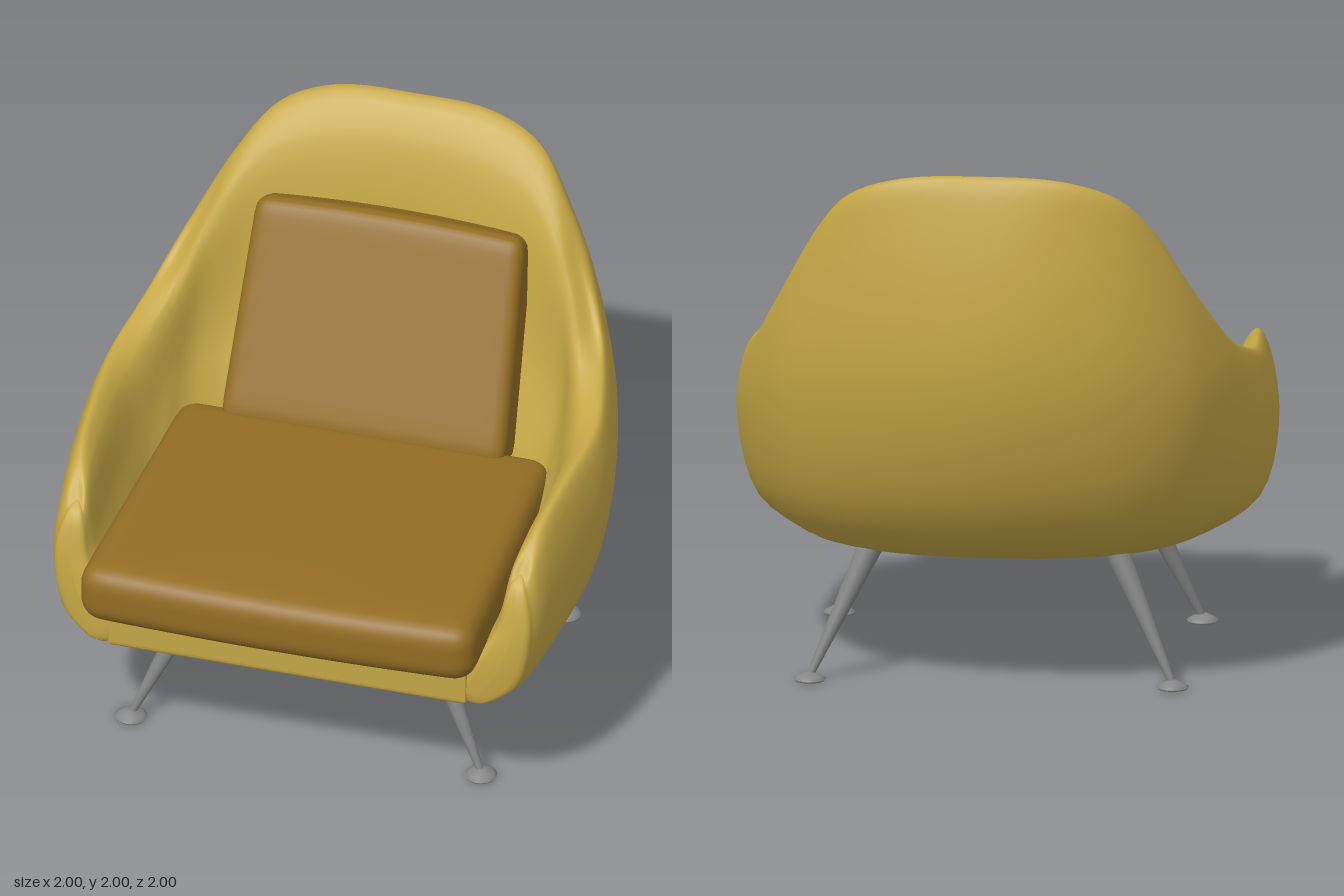
import * as THREE from 'three';
import { mergeVertices } from 'three/addons/utils/BufferGeometryUtils.js';

const V = (x, y, z) => new THREE.Vector3(x, y, z);

const flat = (name, color) => {
  const m = new THREE.MeshStandardMaterial({ color });
  m.name = name;
  return m;
};

function part(name, geometry, material) {
  const m = new THREE.Mesh(geometry, material);
  m.name = name;
  return m;
}

// Half of the shell, from the middle of the back to the front of the left arm:
// rim top, widest outer point, inner wall, bottom edge (x, z), fullness of the lower bulge
const STATIONS = [
  [[0, 2, -0.86], [0, 1.2, -1], [0, 1.2, -0.58], [0, -0.55], 0.58],
  [[0.3, 1.985, -0.855], [0.3, 1.2, -0.965], [0.25, 1.2, -0.56], [0.25, -0.53], 0.58],
  [[0.5, 1.91, -0.8], [0.55, 1.2, -0.88], [0.46, 1.2, -0.52], [0.45, -0.46], 0.6],
  [[0.63, 1.75, -0.68], [0.74, 1.15, -0.74], [0.61, 1.1, -0.45], [0.6, -0.34], 0.62],
  [[0.72, 1.55, -0.575], [0.86, 1.1, -0.55], [0.7, 1.05, -0.36], [0.68, -0.2], 0.65],
  [[0.82, 1.34, -0.43], [0.95, 1, -0.3], [0.75, 1, -0.2], [0.73, 0], 0.7],
  [[0.92, 1.2, -0.12], [1, 0.92, 0], [0.78, 0.92, 0.03], [0.75, 0.2], 0.72],
  [[0.91, 1.17, 0.25], [0.985, 0.86, 0.3], [0.79, 0.88, 0.3], [0.75, 0.42], 0.74],
  [[0.89, 1.14, 0.46], [0.96, 0.82, 0.52], [0.785, 0.85, 0.52], [0.75, 0.62], 0.74],
  [[0.87, 1.08, 0.57], [0.94, 0.8, 0.66], [0.78, 0.82, 0.66], [0.74, 0.72], 0.74],
  [[0.855, 1.0, 0.64], [0.92, 0.8, 0.715], [0.785, 0.8, 0.715], [0.73, 0.765], 0.74],
];

// Nine control points around the wall at one station
function section([t, w, m, b, f]) {
  const T = V(...t), W = V(...w), M = V(...m), B = V(b[0], 0.48, b[1]);
  const mix = (p, q, side, up) => {
    const r = p.clone().lerp(q, side);
    r.y = p.y + (q.y - p.y) * up;
    return r;
  };
  const back = B.z < 0.2 ? 0.12 : 0;
  return [
    B, mix(B, W, f, 0.25), W, mix(W, T, 0.5, 0.8), T, mix(M, T, 0.5, 0.8), M,
    V(B.x * 0.96, 0.65, B.z + back), V(B.x * 0.92, 0.5, B.z + back),
  ];
}

// Wraparound shell: cross-sections swept from the right arm, behind the back, to the left arm
function shellGeometry() {
  const half = STATIONS.map(section);
  const mirrored = half.slice(1).reverse().map(s => s.map(p => V(-p.x, p.y, p.z)));
  const all = [...mirrored, ...half];
  const rails = half[0].map((_, k) => new THREE.CatmullRomCurve3(all.map(s => s[k])));
  const U = 100, N = 45, rings = [];
  for (let i = 0; i <= U; i++) {
    const loop = new THREE.CatmullRomCurve3(rails.map(r => r.getPoint(i / U)), true);
    rings.push(Array.from({ length: N }, (_, j) => loop.getPoint(j / N)));
  }
  // rounded arm fronts, closing each outer point against the inner point facing it
  const capRings = ring => [[0.96, 0.012], [0.86, 0.022], [0.65, 0.028], [0, 0.03]].map(([k, dz]) =>
    ring.map((p, j) => {
      const mid = p.clone().add(ring[(40 - j + N) % N]).multiplyScalar(0.5);
      const bulge = dz * Math.min(1, p.distanceTo(mid) / 0.06);
      return mid.lerp(p, k).add(V(0, 0, bulge));
    }));
  const full = [...capRings(rings[0]).reverse(), ...rings, ...capRings(rings[U])];
  const index = [];
  for (let i = 0; i < full.length - 1; i++) {
    for (let j = 0; j < N; j++) {
      const a = i * N + j, b = i * N + (j + 1) % N;
      index.push(a, b, a + N, b, b + N, a + N);
    }
  }
  const g = new THREE.BufferGeometry().setFromPoints(full.flat());
  g.setIndex(index);
  g.computeVertexNormals();
  return g;
}

// Soft rounded box; shape(p, s) then tapers it, with s running -1..1 on each axis
function cushionGeometry(w, h, d, r, shape) {
  const box = new THREE.BoxGeometry(2, 2, 2, 22, 16, 22);
  box.deleteAttribute('uv');
  box.deleteAttribute('normal');
  const g = mergeVertices(box), pos = g.attributes.position;
  const size = V(w / 2, h / 2, d / 2), inner = size.clone().subScalar(r);
  for (let i = 0; i < pos.count; i++) {
    const s = V(0, 0, 0).fromBufferAttribute(pos, i);
    ['x', 'y', 'z'].forEach(a => { s[a] = Math.sin(s[a] * Math.PI / 2); });
    const p = s.clone().multiply(size);
    const core = p.clone().clamp(inner.clone().negate(), inner);
    p.sub(core).setLength(r).add(core);
    shape(p, s);
    pos.setXYZ(i, p.x, p.y, p.z);
  }
  g.computeVertexNormals();
  return g;
}

// Seat base, filling the underside between the walls
function baseGeometry() {
  const half = [[0.665, 0.775], [0.69, 0.4], [0.67, 0.05], [0.56, -0.28], [0.3, -0.45]];
  const pts = [...half, [0, -0.49], ...half.slice().reverse().map(([x, z]) => [-x, z])];
  const shape = new THREE.Shape();
  shape.moveTo(pts[0][0], -pts[0][1]);
  shape.splineThru(pts.slice(1).map(([x, z]) => new THREE.Vector2(x, -z)));
  shape.closePath();
  const g = new THREE.ExtrudeGeometry(shape, {
    depth: 0.14, bevelEnabled: true, bevelThickness: 0.025, bevelSize: 0.025, bevelSegments: 4, curveSegments: 40,
  });
  g.rotateX(-Math.PI / 2);
  g.translate(0, 0.502, 0);
  return g;
}

export function createModel() {
  const model = new THREE.Group();
  model.name = 'armchair';
  const fabric = flat('mustard fabric', 0xc4a645);
  const cushion = flat('brown cushion fabric', 0x936d23);
  const metal = flat('grey metal', 0x858585);

  model.add(part('shell', shellGeometry(), fabric));
  model.add(part('seatBase', baseGeometry(), fabric));

  // seat cushion, narrower to the rear with a gently bowed front
  const seat = part('seatCushion', cushionGeometry(1.53, 0.24, 1.25, 0.085, (p, s) => {
    p.x *= 0.97 + 0.03 * s.z;
    if (s.z > 0) p.z -= 0.025 * s.x * s.x * s.z;
    p.y += 0.006 * Math.sign(s.y) * (1 - s.x * s.x) * (1 - s.z * s.z);
  }), cushion);
  seat.position.set(0, 0.8, 0.37);
  model.add(seat);

  // leaning back cushion, narrower at the top
  const back = part('backCushion', cushionGeometry(1.1, 0.87, 0.2, 0.055, (p, s) => {
    p.x *= 0.97 - 0.03 * s.y;
    if (s.y > 0) p.y -= 0.015 * s.x * s.x * s.y;
  }), cushion);
  back.position.set(0, 1.245, -0.425);
  back.rotation.x = -0.454;
  model.add(back);

  // splayed tapering legs with small disc feet
  const footProfile = [[0, 0], [0.055, 0], [0.06, 0.008], [0.045, 0.018], [0.018, 0.032], [0, 0.034]]
    .map(([x, y]) => new THREE.Vector2(x, y));
  for (const front of [true, false]) {
    for (const side of [-1, 1]) {
      const leg = new THREE.Group();
      leg.name = (front ? 'front' : 'back') + (side > 0 ? 'Left' : 'Right') + 'Leg';
      const top = V(side * 0.45, 0.51, front ? 0.445 : -0.435);
      const foot = V(side * 0.675, 0.015, front ? 0.55 : -0.545);
      const dir = top.clone().sub(foot);
      const shaft = part('shaft', new THREE.CylinderGeometry(0.048, 0.013, dir.length(), 24), metal);
      shaft.position.copy(top).add(foot).multiplyScalar(0.5);
      shaft.quaternion.setFromUnitVectors(V(0, 1, 0), dir.normalize());
      const disc = part('foot', new THREE.LatheGeometry(footProfile, 24), metal);
      disc.position.set(foot.x, 0, foot.z);
      leg.add(shaft, disc);
      model.add(leg);
    }
  }
  return model;
}
